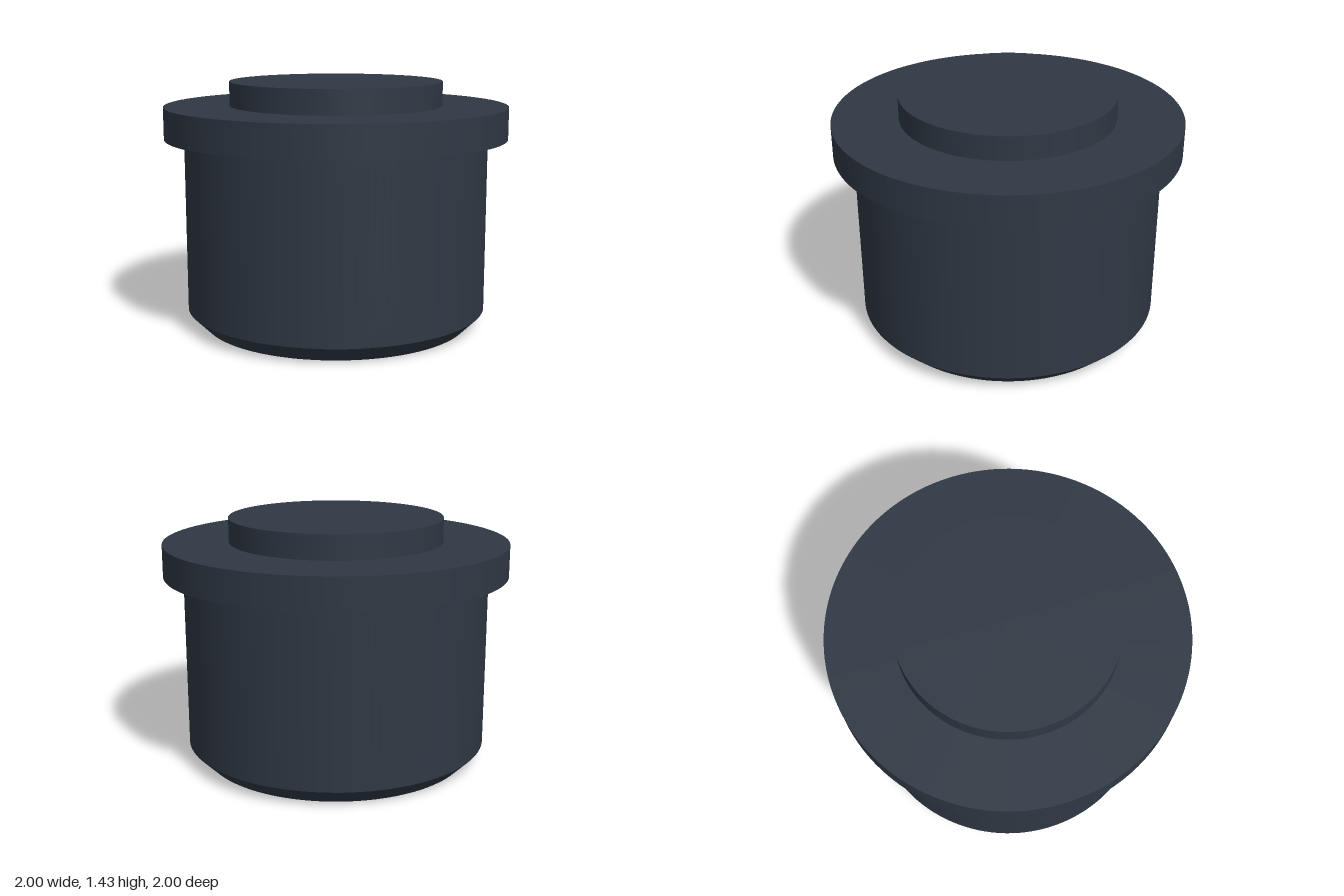
import * as THREE from 'three';

const SEGMENTS = 128;

export function createModel() {
  const group = new THREE.Group();
  const darkSlate = new THREE.MeshStandardMaterial({ color: 0x2f3844 });
  darkSlate.name = 'darkSlate';

  // Stacked round sections, bottom to top: name, lower and upper radius, lower and upper height
  const sections = [
    ['bottomChamfer', 0.79, 0.885, 0, 0.095],
    ['body', 0.885, 0.885, 0.095, 1.105],
    ['flange', 1, 1, 1.105, 1.29],
    ['topBoss', 0.62, 0.62, 1.29, 1.43],
  ];

  for (const [name, lower, upper, y0, y1] of sections) {
    const geometry = new THREE.CylinderGeometry(upper, lower, y1 - y0, SEGMENTS);
    const mesh = new THREE.Mesh(geometry, darkSlate);
    mesh.name = name;
    mesh.position.y = (y0 + y1) / 2;
    group.add(mesh);
  }
  return group;
}
